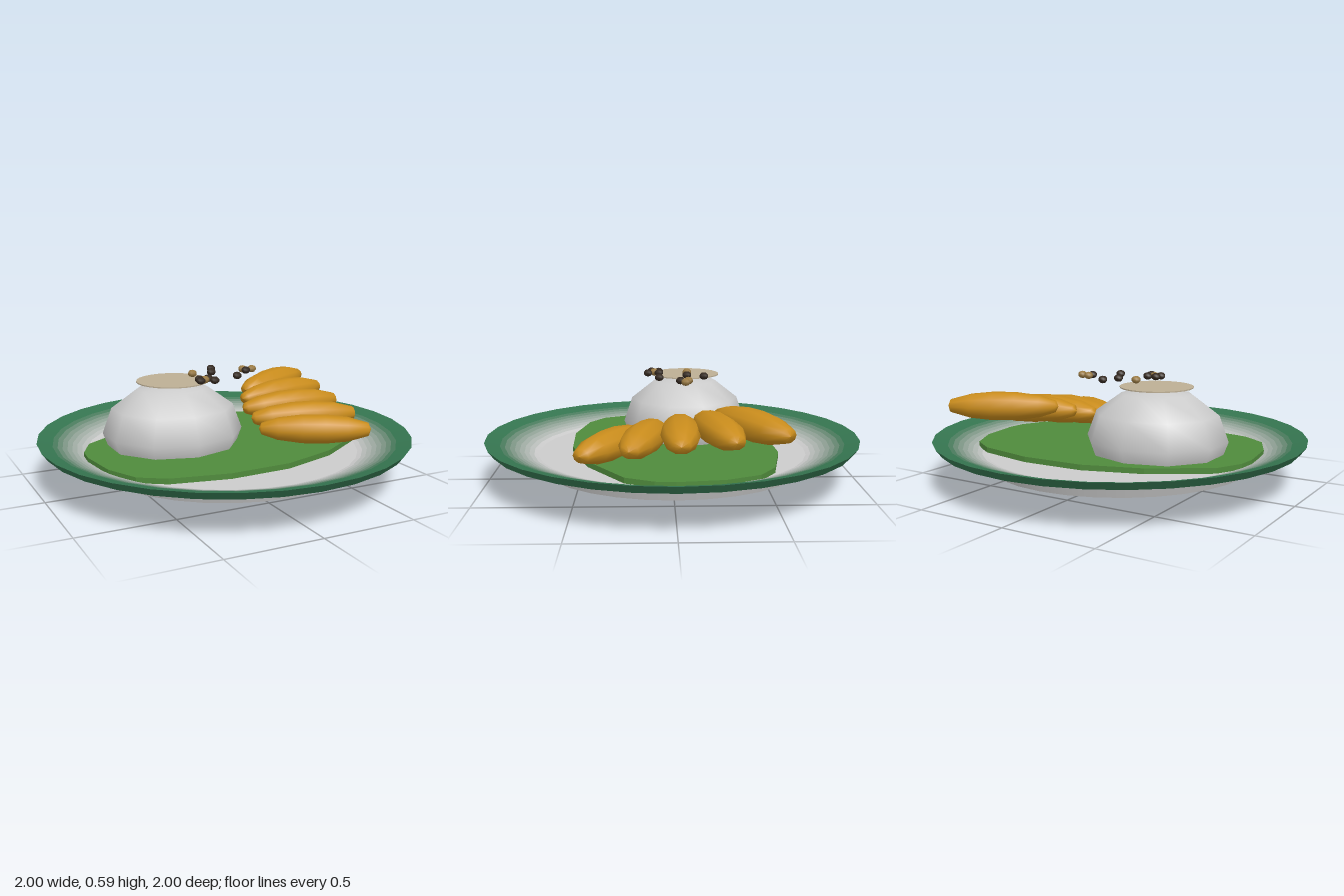
import * as THREE from 'three';

const GREY = 0xcccccc, GREEN = 0x357550;
const mat = (color, extra = {}) => new THREE.MeshStandardMaterial({ color, ...extra });

function add(parent, name, geometry, material, x = 0, y = 0, z = 0) {
  const mesh = new THREE.Mesh(geometry, material);
  mesh.name = name;
  mesh.position.set(x, y, z);
  parent.add(mesh);
  return mesh;
}

const lathe = (points, sides) =>
  new THREE.LatheGeometry(points.map(([r, y]) => new THREE.Vector2(r, y)), sides);

// Sloping part of the plate, in bands that blend from one colour to another
function addBlendedSlope(parent, name, from, to, colorFrom, colorTo, bands) {
  const a = new THREE.Vector2(...from), b = new THREE.Vector2(...to);
  const ca = new THREE.Color(colorFrom), cb = new THREE.Color(colorTo);
  for (let i = 0; i < bands; i++) {
    const p = a.clone().lerp(b, i / bands), q = a.clone().lerp(b, (i + 1) / bands);
    const color = ca.clone().lerp(cb, (i + 0.5) / bands);
    add(parent, name, lathe([[p.x, p.y], [q.x, q.y]], 32), mat(color));
  }
}

function createPlate() {
  const plate = new THREE.Group();
  plate.name = 'plate';
  add(plate, 'plateBase', lathe([[0, 0.1], [0.72, 0.1]], 32), mat(GREY));
  add(plate, 'plateFoot', lathe([[0.72, 0.1], [0.74, 0.15]], 32), mat(GREY));
  addBlendedSlope(plate, 'plateUnderside', [0.74, 0.15], [0.97, 0.21], GREY, GREEN, 8);
  add(plate, 'plateRimEdge', lathe([[0.97, 0.21], [1, 0.25]], 32), mat(GREEN));
  add(plate, 'plateRim', lathe([[1, 0.25], [0.92, 0.23]], 32), mat(GREEN));
  addBlendedSlope(plate, 'plateInnerSlope', [0.92, 0.23], [0.72, 0.165], GREEN, GREY, 8);
  add(plate, 'plateFloor', lathe([[0.72, 0.165], [0, 0.16]], 32), mat(GREY));
  return plate;
}

// Leaf: half an outline, turned half a revolution to complete it
function createLeaf() {
  const half = [[-0.77, 0], [-0.76, -0.1], [-0.69, -0.24], [-0.4, -0.43], [-0.1, -0.53],
    [0.23, -0.545], [0.53, -0.485], [0.66, -0.4], [0.74, -0.23]];
  const outline = [...half, ...half.map(([x, z]) => [-x, -z])];
  const shape = new THREE.Shape(outline.map(([x, z]) => new THREE.Vector2(x, -z)));
  const geometry = new THREE.ExtrudeGeometry(shape, { depth: 0.028, bevelEnabled: false });
  return geometry.rotateX(-Math.PI / 2);
}

export function createModel() {
  const model = new THREE.Group();
  model.name = 'plateOfFood';
  model.add(createPlate());
  add(model, 'leaf', createLeaf(), mat(0x4f8a3c), 0, 0.175, 0);

  // Rice mound with a thin round slice on top
  const mound = new THREE.SphereGeometry(1, 10, 6).rotateY(Math.PI / 2).scale(0.378, 0.27, 0.345);
  add(model, 'riceMound', mound, mat(GREY), -0.27, 0.27, -0.077);
  add(model, 'toppingDisc', new THREE.CylinderGeometry(0.19, 0.19, 0.006, 24),
    mat(0xbcae94), -0.27, 0.54, -0.08);

  // Fried fruit slices fanned out and stepping up towards the back
  const slice = lathe([[0, -0.3], [0.04, -0.285], [0.075, -0.2], [0.096, -0.07], [0.098, 0.05],
    [0.083, 0.17], [0.045, 0.28], [0, 0.295]], 10)
    .rotateZ(-Math.PI / 2).scale(1, 0.78, 1);
  const sliceMaterial = mat(0xc98c1c);
  const slices = [ // x, y, z, turn
    [0.51, 0.41, -0.37, 0.5],
    [0.48, 0.38, -0.21, 0.22],
    [0.435, 0.353, -0.03, -0.02],
    [0.415, 0.325, 0.15, -0.23],
    [0.385, 0.29, 0.31, -0.49],
  ];
  for (const [x, y, z, turn] of slices) {
    add(model, 'friedSlice', slice, sliceMaterial, x, y, z).rotation.y = turn;
  }

  // Dark and golden crumbs
  const crumb = new THREE.SphereGeometry(0.025, 7, 5).scale(1, 0.8, 1);
  const crumbs = {
    darkCrumb: [0x33281f, [[0, -0.17], [-0.04, -0.08], [0.04, 0.07], [0.15, -0.04],
      [-0.18, 0.07], [-0.13, 0.07], [-0.19, 0.11], [-0.12, 0.13]]],
    goldenCrumb: [0x9a7a42, [[-0.15, -0.085], [0.15, -0.08], [0.2, -0.065], [-0.16, 0.095]]],
  };
  for (const [name, [color, places]] of Object.entries(crumbs)) {
    const material = mat(color);
    for (const [x, z] of places) add(model, name, crumb, material, x, 0.567, z);
  }
  return model;
}
